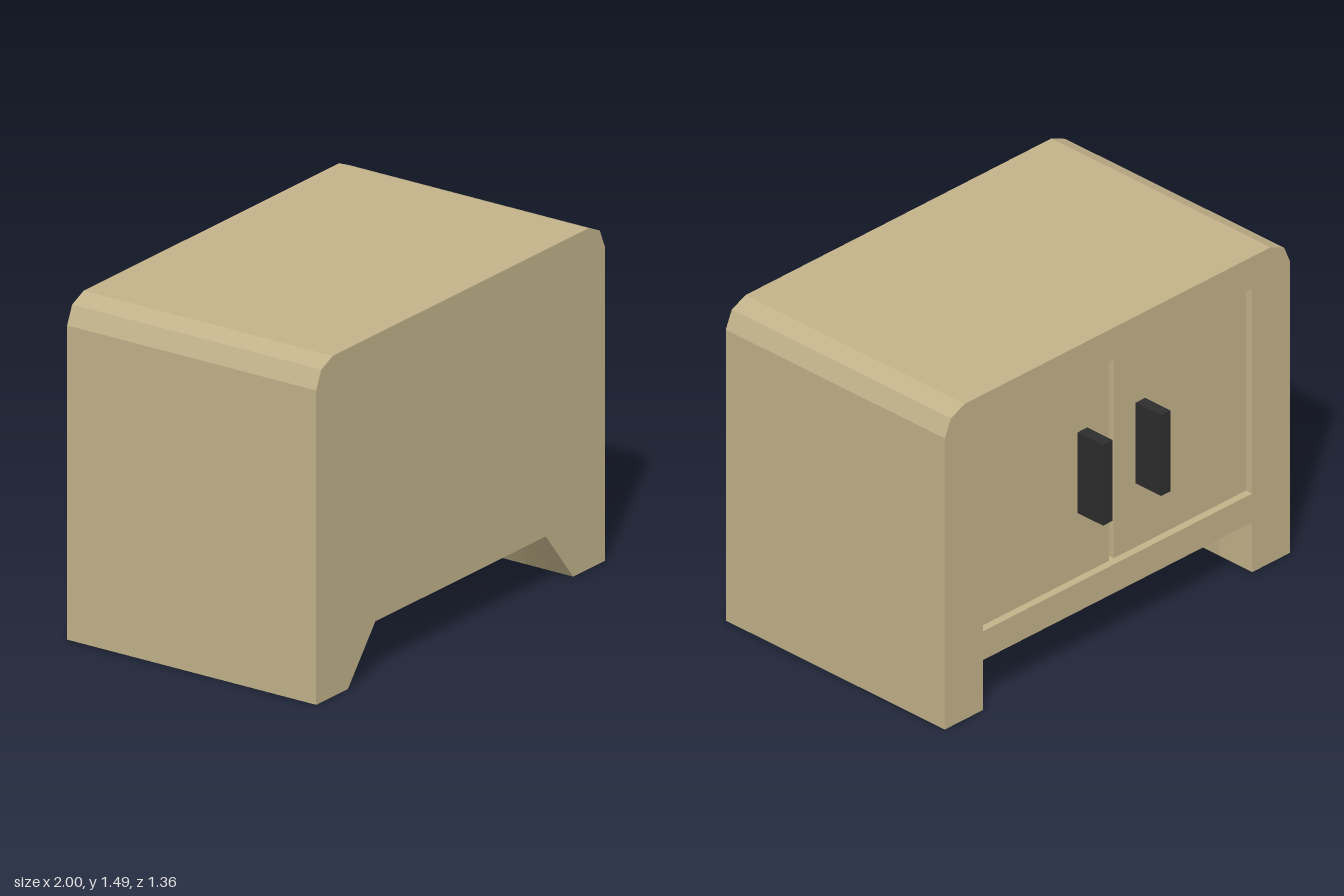
import * as THREE from 'three';

const BACK = -0.57, FRONT = 0.68, FRAME = 0.07; // depth positions and frame thickness
const FOOT_X = 0.78, ARCH_X = 0.59, ARCH_Y = 0.235;

// Cabinet outline with chamfered top corners and an arch between the feet
function outline(archX) {
  const half = [[archX, ARCH_Y], [FOOT_X, 0], [1, 0], [1, 1.37], [0.965, 1.45], [0.885, 1.485]];
  const mirrored = half.map(([x, y]) => [-x, y]).reverse();
  return new THREE.Shape([...half, ...mirrored].map(([x, y]) => new THREE.Vector2(x, y)));
}

export function createModel() {
  const wood = new THREE.MeshStandardMaterial({ color: 0xc2b28a });
  wood.name = 'sand wood';
  const black = new THREE.MeshStandardMaterial({ color: 0x2d2d2d });
  black.name = 'black handle';

  const group = new THREE.Group();
  group.name = 'cabinet';
  const add = (name, geometry, material, x = 0, y = 0, z = 0) => {
    const mesh = new THREE.Mesh(geometry, material);
    mesh.name = name;
    mesh.position.set(x, y, z);
    group.add(mesh);
  };

  // Main body: the arch widens from the front towards the back
  const depth = FRONT - BACK - FRAME;
  const body = new THREE.ExtrudeGeometry(outline(ARCH_X), { depth, steps: 10, bevelEnabled: false });
  const pos = body.attributes.position;
  for (let i = 0; i < pos.count; i++) {
    const x = pos.getX(i);
    if (Math.abs(pos.getY(i) - ARCH_Y) < 0.001 && Math.abs(x) < 0.6) {
      const t = pos.getZ(i) / depth;
      pos.setX(i, Math.sign(x) * THREE.MathUtils.lerp(FOOT_X, ARCH_X, t));
    }
  }
  body.computeVertexNormals();
  add('body', body, wood, 0, 0, BACK + FRAME);

  // Frame around the door opening
  const doorX = 0.78, doorBottom = 0.37, doorTop = 1.335;
  const frame = outline(FOOT_X);
  frame.holes.push(new THREE.Path([
    new THREE.Vector2(-doorX, doorBottom), new THREE.Vector2(-doorX, doorTop),
    new THREE.Vector2(doorX, doorTop), new THREE.Vector2(doorX, doorBottom),
  ]));
  add('doorFrame', new THREE.ExtrudeGeometry(frame, { depth: FRAME, bevelEnabled: false }), wood, 0, 0, BACK);

  // Pair of recessed doors with a narrow gap, each with a block handle
  const gap = 0.015, recess = 0.035, doorZ = BACK + recess;
  for (const [side, s] of [['left', 1], ['right', -1]]) {
    const thickness = FRAME - recess;
    add(side + 'Door', new THREE.BoxGeometry(doorX - gap, doorTop - doorBottom, thickness), wood,
      s * (doorX + gap) / 2, (doorTop + doorBottom) / 2, doorZ + thickness / 2);
    const reach = doorZ + 0.68;
    add(side + 'Handle', new THREE.BoxGeometry(0.055, 0.38, reach), black,
      s * 0.1675, 0.86, doorZ - reach / 2);
  }
  return group;
}
